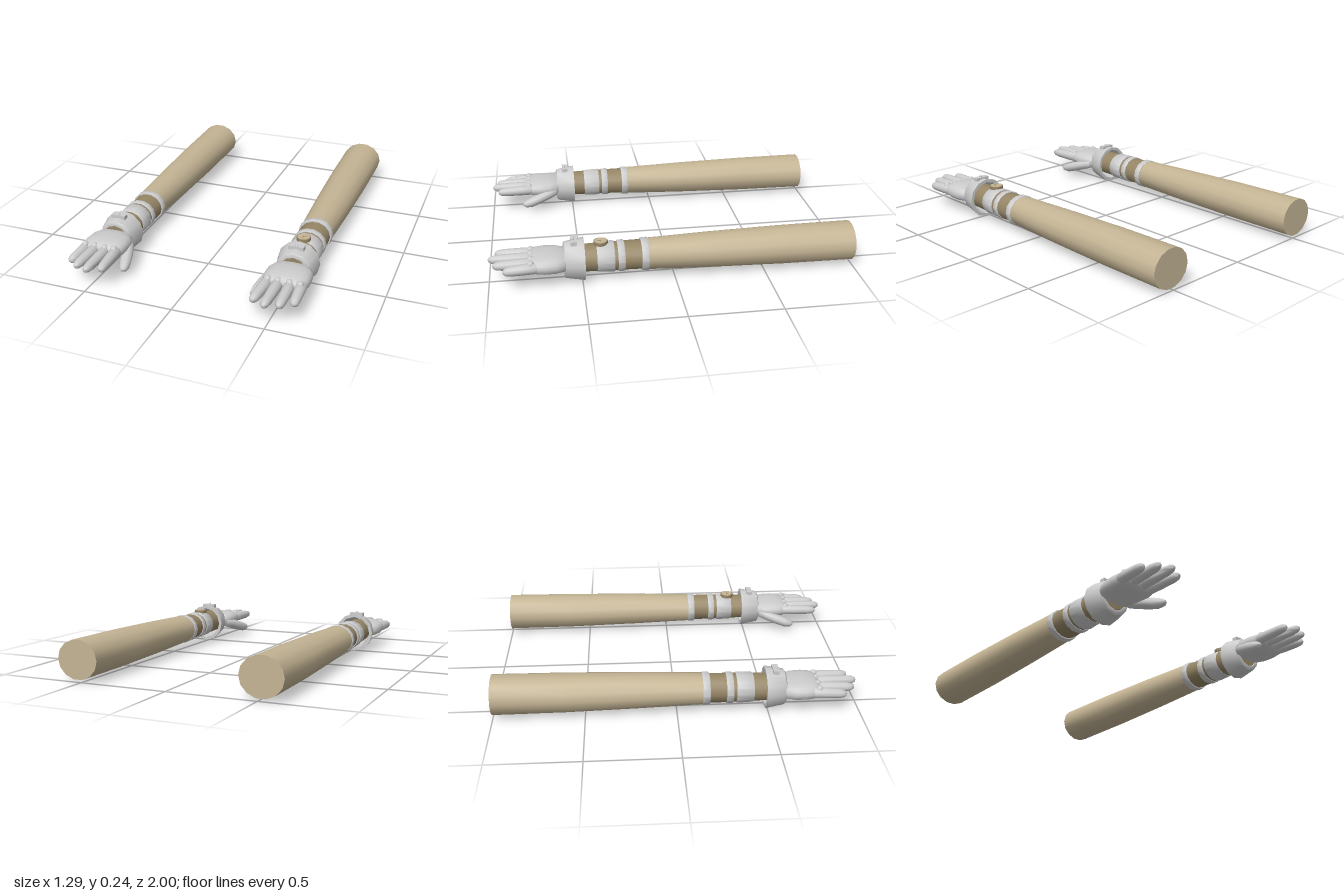
import * as THREE from 'three';
import { toCreasedNormals } from 'three/addons/utils/BufferGeometryUtils.js';

const material = (name, color) => {
  const m = new THREE.MeshStandardMaterial({ color });
  m.name = name;
  return m;
};

// Skins elliptical sections [x, y, z, rx, ry]; power below 1 squares them off
function loft(sections, sides, power = 1, crease = 0.75) {
  const pos = [], index = [];
  const bend = v => Math.sign(v) * Math.pow(Math.abs(v), power);
  for (const [x, y, z, rx, ry] of sections) {
    for (let i = 0; i < sides; i++) {
      const a = (i / sides) * Math.PI * 2;
      pos.push(x + rx * bend(Math.cos(a)), y + ry * bend(Math.sin(a)), z);
    }
  }
  for (let j = 0; j < sections.length - 1; j++) {
    for (let i = 0; i < sides; i++) {
      const k = (i + 1) % sides;
      const a = j * sides + i, b = j * sides + k, c = a + sides, d = b + sides;
      if (sections[j][3] > 0) index.push(a, b, d);
      if (sections[j + 1][3] > 0) index.push(a, d, c);
    }
  }
  const g = new THREE.BufferGeometry();
  g.setAttribute('position', new THREE.Float32BufferAttribute(pos, 3));
  g.setIndex(index);
  return toCreasedNormals(g, crease);
}

// Ring or tube round the arm axis from [z, radius] pairs
const tube = (profile, sides = 14) =>
  loft(profile.map(([z, r]) => [0, 0, z, r, r * 0.9]), sides);

// Round-ended finger running from a to b along z
function digit(a, b, r0, r1) {
  const steps = [[0, 0], [0.03, 0.7], [0.12, 1], [0.45, 1.04], [0.8, 1], [0.92, 0.85], [0.98, 0.5], [1, 0]];
  return loft(steps.map(([t, k]) => {
    const r = k * (r0 + (r1 - r0) * t);
    return [...a.map((v, i) => v + (b[i] - v) * t), r, r];
  }), 10, 1, 1.2);
}

export function createModel() {
  const model = new THREE.Group();
  const tan = material('tan sleeve cloth', 0xc4b494);
  const brown = material('dark tan lining', 0x968666);
  const grey = material('light grey glove', 0xcccccc);

  for (const side of [1, -1]) {
    const arm = new THREE.Group();
    arm.name = side > 0 ? 'leftArm' : 'rightArm';
    arm.position.set(side * 0.52, 0.12, 0);
    model.add(arm);
    const add = (name, geometry, mat, parent = arm) => {
      const mesh = new THREE.Mesh(geometry, mat);
      mesh.name = name;
      parent.add(mesh);
      return mesh;
    };

    // Long tapering sleeve and the lining showing at the wrist
    add('sleeve', tube([[-1, 0], [-1, 0.12], [-0.6, 0.117], [-0.2, 0.107], [0.15, 0.094], [0.15, 0]]), tan);
    add('wristLining', tube([[0.14, 0], [0.14, 0.089], [0.4, 0.085], [0.59, 0.078], [0.59, 0]]), brown);

    // Wrist bands
    for (const [z0, z1, r0, r1] of [[0.14, 0.18, 0.099, 0.098], [0.27, 0.308, 0.094, 0.093], [0.325, 0.42, 0.093, 0.089]]) {
      add('wristBand', tube([[z0, 0.07], [z0, r0 - 0.003], [z0 + 0.004, r0], [z1 - 0.004, r1], [z1, r1 - 0.003], [z1, 0.07]]), grey);
    }

    // Flared hollow cuff
    const cuff = [[0.485, 0.098], [0.485, 0.117], [0.495, 0.117], [0.59, 0.095], [0.597, 0.09], [0.597, 0.074], [0.485, 0.098]];
    add('cuff', loft(cuff.map(([z, r]) => [0, -0.004, z, r, r === 0.095 ? 0.1 : r * 0.99]), 12), grey);

    // Cuff plate with its knob
    add('cuffPlate', new THREE.BoxGeometry(0.084, 0.022, 0.032), grey).position.set(0, 0.104, 0.54);
    add('cuffKnob', new THREE.SphereGeometry(0.009, 10, 8), grey).position.set(0, 0.116, 0.545);

    // Palm
    const hand = new THREE.Group();
    hand.name = 'hand';
    arm.add(hand);
    add('palm', loft([
      [0, 0, 0.575, 0, 0], [0, 0, 0.575, 0.075, 0.035], [0, 0, 0.595, 0.105, 0.043],
      [0, 0.002, 0.64, 0.121, 0.049], [0, 0.003, 0.7, 0.124, 0.05], [0, 0.004, 0.75, 0.118, 0.044],
      [0, 0.004, 0.775, 0.106, 0.034], [0, 0.004, 0.785, 0.085, 0.022], [0, 0.004, 0.785, 0, 0],
    ], 20, 0.75, 0.9), grey, hand);

    // Four fingers: distance towards the body at base and tip, tip z and height
    for (const [u0, u1, z, y] of [[-0.09, -0.1, 0.92, -0.003], [-0.034, -0.04, 0.975, 0.004], [0.028, 0.03, 1, 0.007], [0.083, 0.1, 0.965, 0.004]]) {
      add('finger', digit([-side * u0, 0.006, 0.72], [-side * u1, y, z], 0.032, 0.025), grey, hand);
      add('knuckle', new THREE.SphereGeometry(0.02, 10, 8), grey, hand).position.set(-side * u0, 0.027, 0.772);
    }

    // Thumb, drooping on the inner side
    const thumb = [
      [0.08, -0.01, 0.59, 0, 0], [0.085, -0.012, 0.6, 0.028, 0.026], [0.1, -0.022, 0.64, 0.034, 0.031],
      [0.12, -0.04, 0.7, 0.036, 0.032], [0.138, -0.058, 0.76, 0.032, 0.031], [0.146, -0.064, 0.795, 0.024, 0.022],
      [0.148, -0.065, 0.812, 0.011, 0.01], [0.148, -0.065, 0.815, 0, 0],
    ];
    add('thumb', loft(thumb.map(([u, ...rest]) => [-side * u, ...rest]), 10, 1, 1.2), grey, hand);

    // Wrist dial, on the left arm only
    if (side > 0) {
      const dial = new THREE.Group();
      dial.name = 'wristDial';
      dial.position.set(-0.005, 0.084, 0.395);
      arm.add(dial);
      add('dialCase', new THREE.CylinderGeometry(0.039, 0.039, 0.018, 20), brown, dial);
      add('dialFace', new THREE.CylinderGeometry(0.034, 0.034, 0.004, 20), tan, dial).position.y = 0.009;
      add('dialHand', new THREE.BoxGeometry(0.003, 0.002, 0.022), brown, dial).position.set(0, 0.0115, 0.009);
      add('dialHand', new THREE.BoxGeometry(0.016, 0.002, 0.003), brown, dial).position.set(0.007, 0.0115, 0);
    }
  }
  return model;
}
